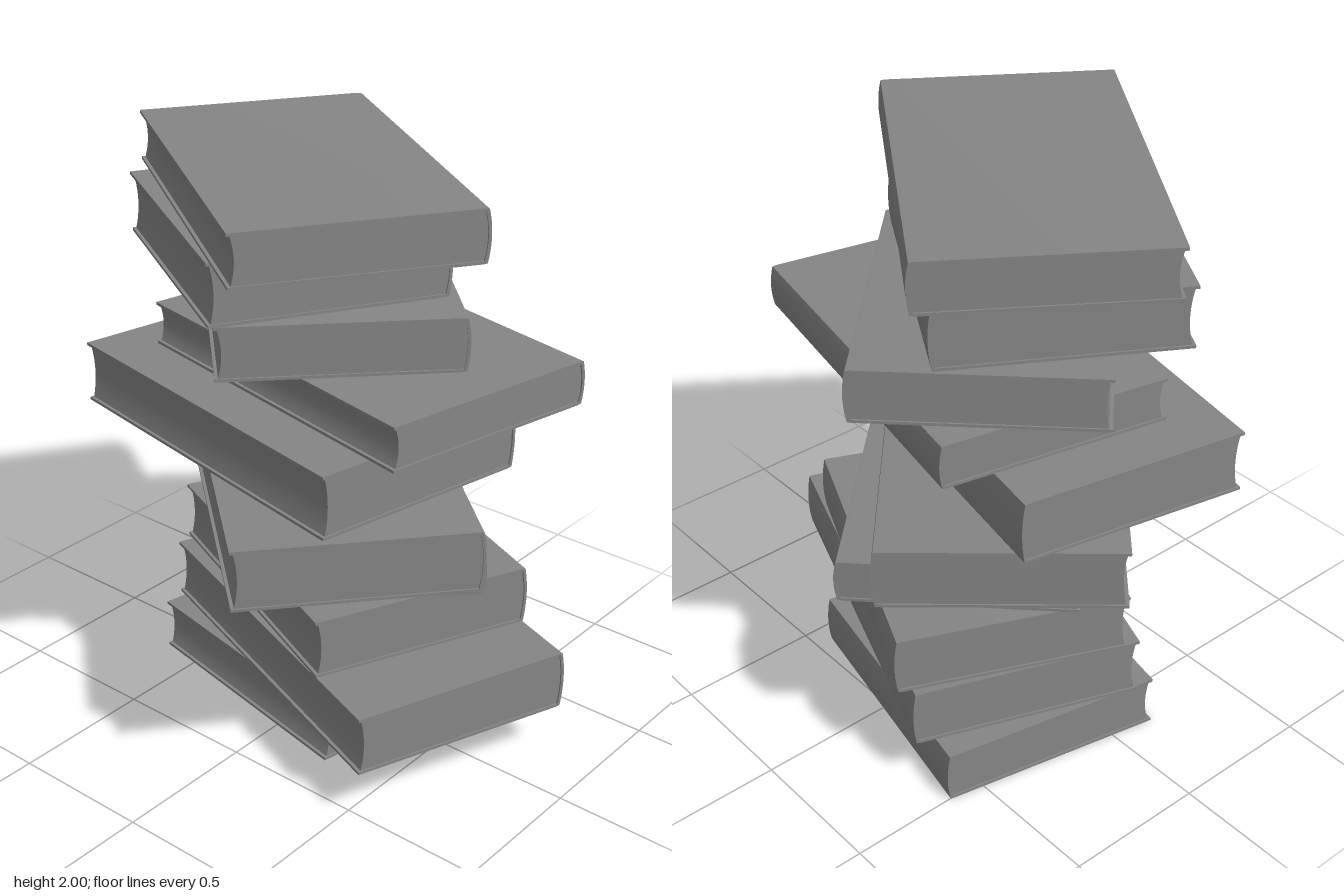
import * as THREE from 'three';
import { toCreasedNormals } from 'three/addons/utils/BufferGeometryUtils.js';

const material = new THREE.MeshStandardMaterial({ color: 0x858585 });

const COVER = 0.01;   // board thickness
const BULGE = 0.01;   // rounding of the spine
const INSET = 0.006;  // pages set back from the head and tail of the boards
const FRONT = -0.4;   // fore-edge of the boards
const BACK = 0.392;   // where the boards meet the spine

// Extrude a cross-section along z, centred, keeping only the sharp edges creased
function extrude(shape, length, name) {
  const geo = new THREE.ExtrudeGeometry(shape, { depth: length, bevelEnabled: false, curveSegments: 10 });
  geo.translate(0, 0, -length / 2);
  const mesh = new THREE.Mesh(toCreasedNormals(geo, 0.4), material);
  mesh.name = name;
  return mesh;
}

// C-shaped case: two boards, slightly eased at the joint, with a rounded spine
function coverShape(h) {
  const s = new THREE.Shape();
  const ease = 0.002, joint = BACK - 0.015;
  s.moveTo(FRONT, 0);
  s.lineTo(joint, 0);
  s.lineTo(BACK, ease);
  s.quadraticCurveTo(BACK + 2 * BULGE, h / 2, BACK, h - ease);
  s.lineTo(joint, h);
  s.lineTo(FRONT, h);
  s.lineTo(FRONT, h - COVER);
  s.lineTo(BACK - COVER, h - COVER);
  s.quadraticCurveTo(BACK - COVER + 2 * BULGE, h / 2, BACK - COVER, COVER);
  s.lineTo(FRONT, COVER);
  s.closePath();
  return s;
}

// Page block: hollow fore-edge, rounded back
function pageShape(h) {
  const s = new THREE.Shape();
  const x0 = FRONT + 0.011, x1 = BACK - COVER, lo = COVER - 0.001, hi = h - lo;
  s.moveTo(x0, lo);
  s.lineTo(x1, lo);
  s.quadraticCurveTo(x1 + 2 * BULGE, h / 2, x1, hi);
  s.lineTo(x0, hi);
  s.quadraticCurveTo(x0 + 0.024, h / 2, x0, lo);
  return s;
}

function makeBook(height, length) {
  const book = new THREE.Group();
  book.add(extrude(coverShape(height), length, 'cover'));
  book.add(extrude(pageShape(height), length - 2 * INSET, 'pages'));
  return book;
}

// Bottom to top: [bottom y, top y, spine length, centre x, centre z, turn]
const BOOKS = [
  [0.0, 0.188, 0.943, -0.118, -0.145, 1.371],
  [0.195, 0.406, 1.32, 0.093, -0.07, 1.211],
  [0.415, 0.624, 1.077, -0.013, -0.133, 1.156],
  [0.633, 0.789, 0.983, 0.008, -0.105, 0.784],
  [0.8, 1.012, 1.475, -0.035, 0.0, 0.857],
  [1.022, 1.24, 1.314, -0.12, 0.043, 1.374],
  [1.247, 1.4, 1.266, 0.063, -0.1, 1.366],
  [1.41, 1.593, 1.043, -0.105, -0.11, 0.797],
  [1.607, 1.818, 0.936, -0.193, -0.003, 1.034],
  [1.826, 2.0, 1.29, -0.09, 0.025, 0.975],
];

export function createModel() {
  const stack = new THREE.Group();
  stack.name = 'bookStack';
  BOOKS.forEach(([y0, y1, length, x, z, turn], i) => {
    const book = makeBook(y1 - y0, length);
    book.name = `book${i + 1}`;
    book.position.set(x, y0, z);
    book.rotation.y = turn;
    stack.add(book);
  });
  return stack;
}
